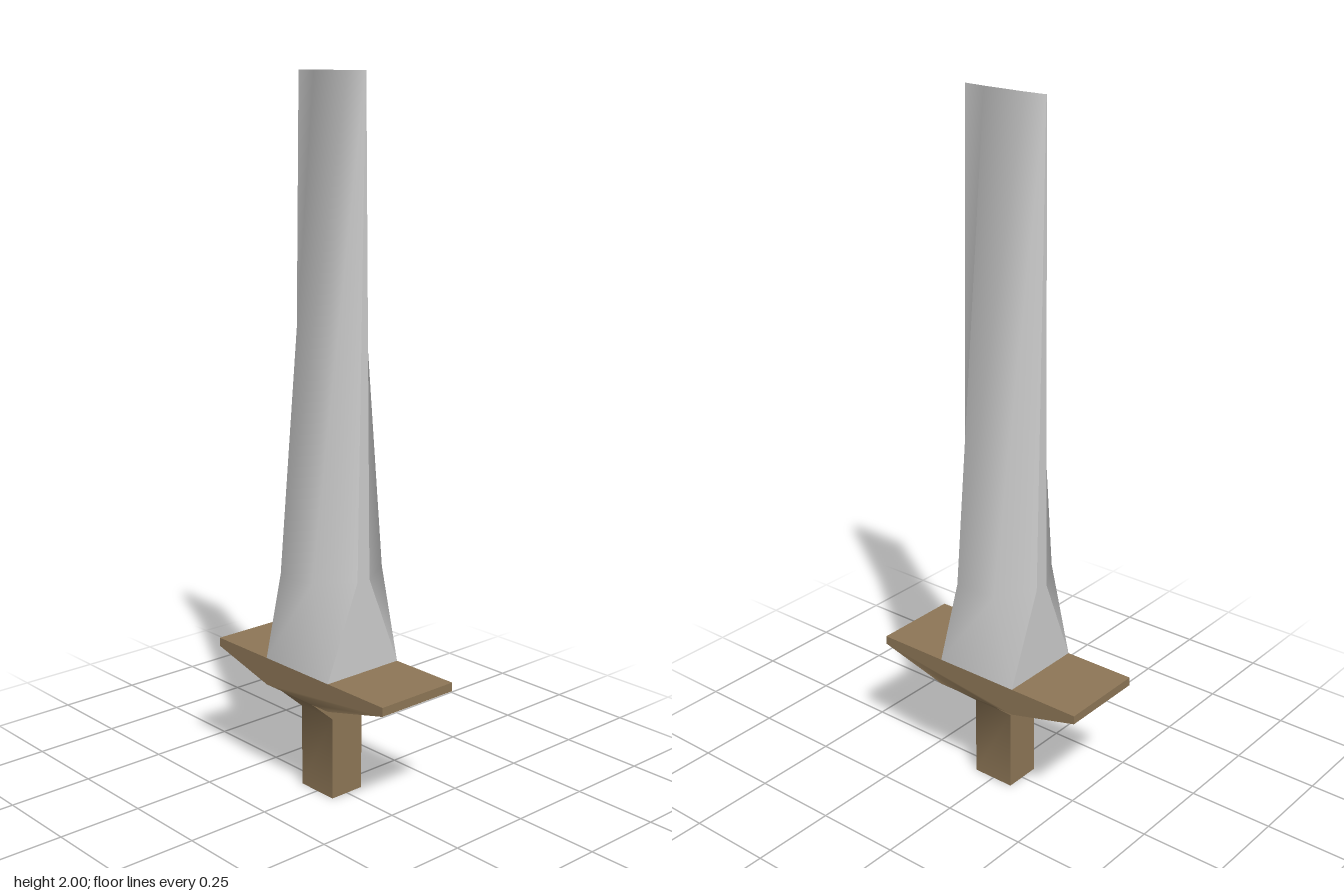
import * as THREE from 'three';
import { mergeGeometries, toCreasedNormals } from 'three/addons/utils/BufferGeometryUtils.js';

// Sheet through rows of points: rows go upward, points run left to right seen from outside
function sheet(rows) {
  const n = rows[0].length, index = [];
  for (let r = 0; r < rows.length - 1; r++) {
    for (let c = 0; c < n - 1; c++) {
      const a = r * n + c, d = a + n;
      index.push(a, a + 1, d + 1, a, d + 1, d);
    }
  }
  const g = new THREE.BufferGeometry();
  g.setAttribute('position', new THREE.Float32BufferAttribute(rows.flat(2), 3));
  g.setIndex(index);
  g.computeVertexNormals();
  return g;
}

// Prism from a half outline, mirrored left to right, centred on its depth
function mirroredPrism(half, depth) {
  const outline = [...half, ...half.map(([x, y]) => [-x, y]).reverse()];
  const shape = new THREE.Shape(outline.map(([x, y]) => new THREE.Vector2(x, y)));
  return new THREE.ExtrudeGeometry(shape, { depth, bevelEnabled: false }).translate(0, 0, -depth / 2);
}

export function createModel() {
  const group = new THREE.Group();
  const steel = new THREE.MeshStandardMaterial({ color: 0xcccccc });
  const wood = new THREE.MeshStandardMaterial({ color: 0x8d7656 });

  // Blade levels: height, edge half thickness, ridge half width, ridge half thickness
  const W = 0.13;
  const levels = [
    [0.385, 0.13, W, 0.13],
    [0.65, 0.022, 0.065, 0.13],
    [2, 0.001, 0.065, 0.005],
  ];
  const broad = sheet(levels.map(([y, e, x, z]) => [[-W, y, e], [-x, y, z], [x, y, z], [W, y, e]]));
  const edge = sheet(levels.map(([y, e]) => [[W, y, e], [W, y, -e]]));

  // Each half of the blade has one broad face and one narrow edge
  const blade = new THREE.Group();
  blade.name = 'blade';
  for (const turn of [0, Math.PI]) {
    for (const [name, geometry] of [['bladeFace', broad], ['bladeEdge', edge]]) {
      const mesh = new THREE.Mesh(geometry, steel);
      mesh.name = name;
      mesh.rotation.y = turn;
      blade.add(mesh);
    }
  }
  group.add(blade);

  // Cross guard with tapered arms, and a grip that flares front and back into it
  const guard = mirroredPrism([[0.065, 0.305], [0.13, 0.305], [0.345, 0.36], [0.345, 0.385]], 0.26);
  const grip = mirroredPrism([[0.055, 0], [0.055, 0.24], [0.13, 0.305]], 0.13).rotateY(Math.PI / 2);
  const hilt = new THREE.Mesh(toCreasedNormals(mergeGeometries([guard, grip]), 0.9), wood);
  hilt.name = 'guardAndGrip';
  group.add(hilt);

  return group;
}
